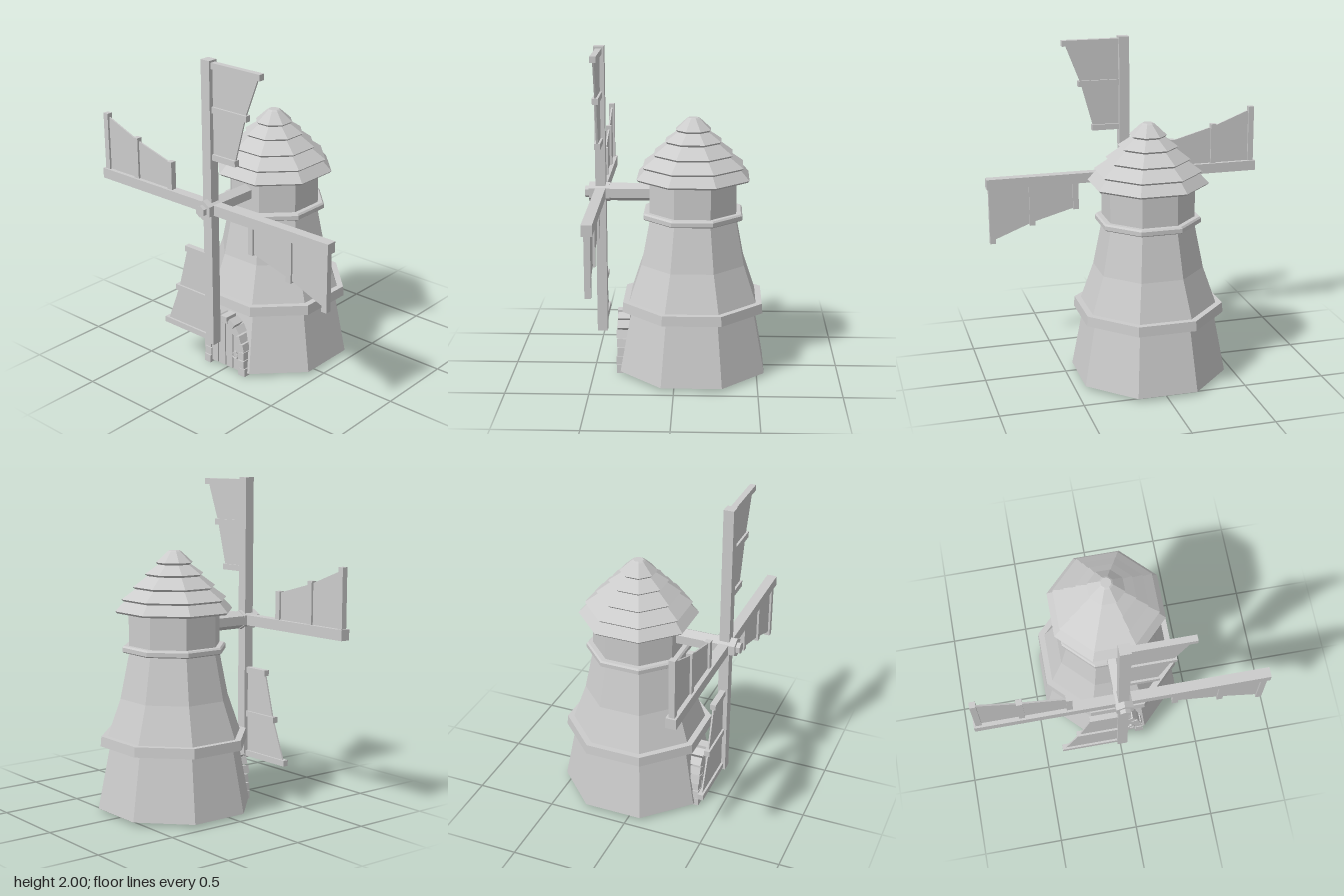
import * as THREE from 'three';

const material = new THREE.MeshStandardMaterial({ color: 0xcccccc, flatShading: true, side: THREE.DoubleSide });
const TOWER_Z = -0.105;
const HUB_Y = 1.115;
const SAIL_Z = 0.455;

function add(parent, name, geometry, x = 0, y = 0, z = 0) {
  const mesh = new THREE.Mesh(geometry, material);
  mesh.name = name;
  mesh.position.set(x, y, z);
  parent.add(mesh);
  return mesh;
}

// Eight-sided ring from [apothem, height] pairs, with a flat side to the front
function octagon(profile) {
  const k = 1 / Math.cos(Math.PI / 8);
  const points = profile.map(([r, y]) => new THREE.Vector2(r * k, y));
  return new THREE.LatheGeometry(points, 8, Math.PI / 8);
}

function hexRod(radius, z0, z1) {
  return new THREE.CylinderGeometry(radius, radius, z1 - z0, 6)
    .rotateX(Math.PI / 2).translate(0, 0, (z0 + z1) / 2);
}

function createTower() {
  const tower = new THREE.Group();
  tower.name = 'tower';
  tower.position.z = TOWER_Z;
  add(tower, 'lowerWall', octagon([[0.44, 0.02], [0.37, 0.41]]));
  add(tower, 'lowerBand', octagon([[0.365, 0.405], [0.425, 0.405], [0.42, 0.465], [0.37, 0.465]]));
  add(tower, 'upperWall', octagon([[0.385, 0.46], [0.31, 0.69], [0.256, 0.98]]));
  add(tower, 'upperBand', octagon([[0.25, 0.968], [0.287, 0.968], [0.297, 0.975], [0.297, 1.0], [0.288, 1.01], [0.25, 1.01]]));
  add(tower, 'neck', octagon([[0.26, 1.0], [0.26, 1.225]]));

  // Stepped roof: every tier has a short lip and slopes in under the next one
  const tiers = [[0.336, 1.215], [0.3, 1.285], [0.235, 1.357], [0.167, 1.433], [0.105, 1.5]];
  const profile = [[0.25, 1.222]];
  tiers.forEach(([r, y], i) => {
    const next = tiers[i + 1];
    profile.push([r - 0.012, y - 0.008], [r, y + 0.004]);
    profile.push(next ? [next[0] - 0.018, next[1] - 0.004] : [0.04, 1.568]);
  });
  profile.push([0.03, 1.575], [0, 1.575]);
  add(tower, 'roof', octagon(profile));
  return tower;
}

// One arm pointing up, with its sail on the +x side
function createArm() {
  const arm = new THREE.Group();
  arm.name = 'sailArm';
  add(arm, 'spar', new THREE.BoxGeometry(0.064, 0.885, 0.062), 0, 0.4425, 0);
  for (const [y, end] of [[0.855, 0.39], [0.6, 0.29], [0.318, 0.205]]) {
    add(arm, 'batten', new THREE.BoxGeometry(end, 0.036, 0.036), end / 2, y, 0);
  }
  const outline = [[0.02, 0.31], [0.192, 0.31], [0.272, 0.6], [0.372, 0.855], [0.02, 0.855]];
  const shape = new THREE.Shape(outline.map(([x, y]) => new THREE.Vector2(x, y)));
  add(arm, 'sailCloth', new THREE.ExtrudeGeometry(shape, { depth: 0.01, bevelEnabled: false }), 0, 0, -0.005);
  return arm;
}

function createSails() {
  const sails = new THREE.Group();
  sails.name = 'sails';
  sails.position.y = HUB_Y;
  for (let i = 0; i < 4; i++) {
    const arm = createArm();
    arm.position.z = SAIL_Z;
    arm.rotation.z = i * Math.PI / 2;
    sails.add(arm);
  }
  add(sails, 'axle', hexRod(0.055, 0.1, 0.49));
  add(sails, 'hub', hexRod(0.06, 0.4, 0.525));
  add(sails, 'hubNut', hexRod(0.036, 0.52, 0.55));
  return sails;
}

function createDoor() {
  const door = new THREE.Group();
  door.name = 'door';

  // Arch of uneven stones
  const half = [[0.14, 0], [0.136, 0.1], [0.124, 0.2], [0.083, 0.292]];
  const path = [...half.map(([x, y]) => [-x, y]), [0, 0.342], ...half.slice().reverse()];
  const curve = new THREE.CatmullRomCurve3(path.map(([x, y]) => new THREE.Vector3(x, y, 0)));
  const count = 15;
  const step = curve.getLength() / count;
  for (let i = 0; i < count; i++) {
    const t = (i + 0.5) / count;
    const p = curve.getPointAt(t);
    const d = curve.getTangentAt(t);
    const wobble = Math.sin(i * 2.4);
    const geometry = new THREE.BoxGeometry(step * 0.93, 0.048 + 0.006 * wobble, 0.08 + 0.006 * Math.cos(i * 1.9));
    add(door, 'archStone', geometry, p.x, p.y, 0.318).rotation.z = Math.atan2(d.y, d.x);
  }

  // Planks cut to the arch, over a backing board
  const top = x => 0.13 + 0.2 * Math.sqrt(Math.max(0, 1 - (x / 0.125) ** 2));
  const board = (x0, x1, depth) => {
    const points = [new THREE.Vector2(x0, 0.02), new THREE.Vector2(x1, 0.02)];
    for (let i = 0; i <= 6; i++) {
      const x = x1 + (x0 - x1) * i / 6;
      points.push(new THREE.Vector2(x, top(x)));
    }
    return new THREE.ExtrudeGeometry(new THREE.Shape(points), { depth, bevelEnabled: false });
  };
  add(door, 'doorBacking', board(-0.122, 0.122, 0.04), 0, 0, 0.297);
  for (let i = 0; i < 4; i++) {
    const x = -0.122 + i * 0.061;
    add(door, 'doorPlank', board(x + 0.004, x + 0.057, 0.02), 0, 0, 0.326);
  }
  add(door, 'handlePlate', new THREE.CylinderGeometry(0.013, 0.013, 0.014, 8).rotateX(Math.PI / 2), 0.085, 0.14, 0.351);
  add(door, 'handleRing', new THREE.TorusGeometry(0.02, 0.005, 6, 12), 0.085, 0.122, 0.354);
  return door;
}

export function createModel() {
  const windmill = new THREE.Group();
  windmill.name = 'windmill';
  windmill.add(createTower(), createSails(), createDoor());
  return windmill;
}
